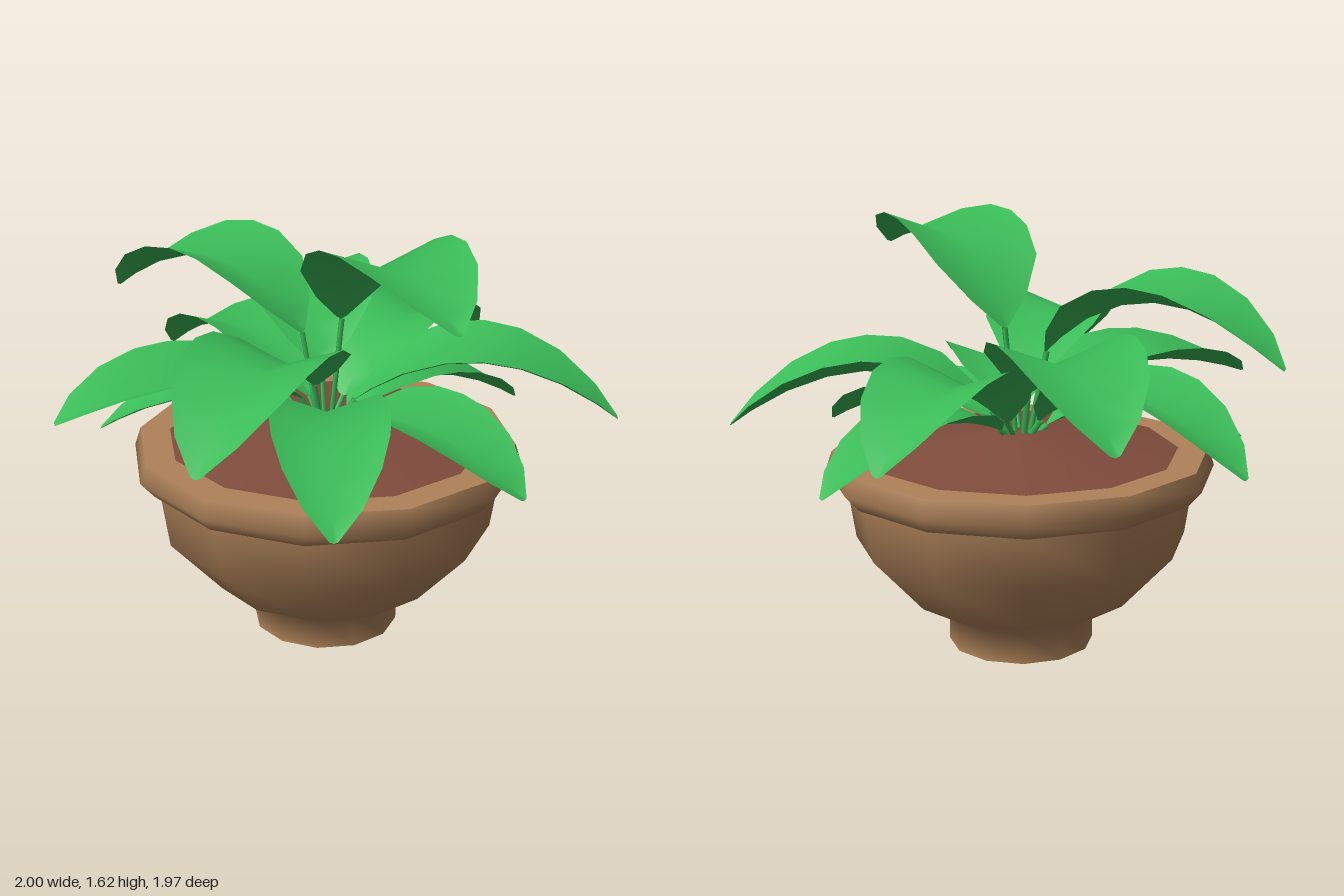
import * as THREE from 'three';

const CENTER = new THREE.Vector3(0.02, 0.8, 0.05);
const FOLD = 0.37;

// Each leaf: start of the blade, tip, highest edge, half width, where the arch bends
const LEAVES = [
  { base: [0.02, 1.15, -0.06], tip: [0.02, 1.17, -0.98], peak: 1.46, half: 0.25, bend: 0.43 },
  { base: [0.05, 1.23, 0.1], tip: [-0.4, 1.44, 0.88], peak: 1.61, half: 0.25, bend: 0.3 },
  { base: [0.08, 0.91, 0.14], tip: [0.58, 0.87, 0.98], peak: 1.16, half: 0.24, bend: 0.47 },
  { base: [0.13, 0.89, 0.05], tip: [1.0, 0.9, 0.06], peak: 1.19, half: 0.24, bend: 0.45 },
  { base: [0.09, 1.0, -0.02], tip: [0.77, 1.01, -0.69], peak: 1.29, half: 0.25, bend: 0.45 },
  { base: [0.05, 0.89, -0.05], tip: [0.31, 0.85, -0.96], peak: 1.13, half: 0.21, bend: 0.45 },
  { base: [-0.07, 0.93, 0], tip: [-0.85, 0.95, -0.5], peak: 1.13, half: 0.24, bend: 0.45 },
  { base: [-0.08, 1.0, 0.07], tip: [-1.0, 1.0, 0.28], peak: 1.29, half: 0.25, bend: 0.45 },
  { base: [-0.06, 0.89, 0.11], tip: [-0.81, 0.82, 0.69], peak: 1.07, half: 0.21, bend: 0.45 },
  { base: [0.01, 0.85, 0.15], tip: [-0.05, 0.76, 0.95], peak: 0.99, half: 0.21, bend: 0.45 },
  { base: [0.11, 0.85, 0.09], tip: [0.86, 0.74, 0.38], peak: 0.98, half: 0.18, bend: 0.45 },
  { base: [-0.04, 0.85, -0.03], tip: [-0.47, 0.78, -0.65], peak: 0.98, half: 0.17, bend: 0.45 },
];

// Position along the blade and share of the full width
const STATIONS = [
  [0, 0.08], [0.07, 0.48], [0.2, 0.87], [0.36, 0.99], [0.5, 1], [0.64, 0.95], [0.79, 0.78], [0.92, 0.46], [1, 0.07],
];

// Arching blade folded upward along its midrib
function bladeGeometry(base, tip, peak, half, bend) {
  const control = base.clone().lerp(tip, bend);
  control.y = 2 * (peak - half * FOLD) - (base.y + tip.y) / 2;
  const midrib = new THREE.QuadraticBezierCurve3(base, control, tip);
  const side = new THREE.Vector3(tip.z - base.z, 0, base.x - tip.x).normalize();
  const positions = [];
  const indices = [];
  STATIONS.forEach(([t, share], i) => {
    const p = midrib.getPoint(t);
    const w = half * share;
    for (const s of [-1, 0, 1]) {
      positions.push(p.x + side.x * w * s, p.y + Math.abs(s) * w * FOLD, p.z + side.z * w * s);
    }
    if (i === 0) return;
    for (let k = 0; k < 2; k++) {
      const a = (i - 1) * 3 + k;
      indices.push(a, a + 3, a + 4, a, a + 4, a + 1);
    }
  });
  const geometry = new THREE.BufferGeometry();
  geometry.setAttribute('position', new THREE.Float32BufferAttribute(positions, 3));
  geometry.setIndex(indices);
  geometry.computeVertexNormals();
  // Make sure the front of the blade is its upper side
  if (geometry.attributes.normal.getY(10) < 0) {
    geometry.setIndex(indices.reverse());
    geometry.computeVertexNormals();
  }
  return geometry;
}

export function createModel() {
  const clay = new THREE.MeshStandardMaterial({ name: 'clay', color: 0xae8259, side: THREE.DoubleSide });
  const earth = new THREE.MeshStandardMaterial({ name: 'earth', color: 0x7f4c3c });
  const leafGreen = new THREE.MeshStandardMaterial({ name: 'leafGreen', color: 0x3abb57, side: THREE.DoubleSide });

  const model = new THREE.Group();
  model.name = 'pottedPlant';

  // Pot: twelve-sided turned sections, open below, split where the edges are sharp
  const pot = new THREE.Group();
  pot.name = 'pot';
  pot.position.set(CENTER.x, 0, CENTER.z);
  const turned = (name, profile, material) => {
    const points = profile.map(([r, y]) => new THREE.Vector2(r, y));
    const mesh = new THREE.Mesh(new THREE.LatheGeometry(points, 12), material);
    mesh.name = name;
    pot.add(mesh);
  };
  turned('footAndBowl', [[0.278, 0], [0.278, 0.115], [0.43, 0.2], [0.63, 0.42], [0.662, 0.63]], clay);
  turned('rim', [[0.662, 0.63], [0.685, 0.63], [0.738, 0.69], [0.715, 0.76]], clay);
  turned('rimTop', [[0.715, 0.76], [0.6, 0.76]], clay);
  turned('soil', [[0.6, 0.76], [0.12, 0.83], [0, 0.835]], earth);
  model.add(pot);

  // Leaves: a thin stalk and a blade each
  LEAVES.forEach(({ base, tip, peak, half, bend }) => {
    const leaf = new THREE.Group();
    leaf.name = 'leaf';
    const start = new THREE.Vector3(...base);
    const root = CENTER.clone().lerp(start, 0.3).setY(CENTER.y);

    const stalk = new THREE.Mesh(
      new THREE.TubeGeometry(new THREE.LineCurve3(root, start), 1, 0.012, 4), leafGreen);
    stalk.name = 'stalk';
    const blade = new THREE.Mesh(bladeGeometry(start, new THREE.Vector3(...tip), peak, half, bend), leafGreen);
    blade.name = 'blade';
    leaf.add(stalk, blade);
    model.add(leaf);
  });

  return model;
}
